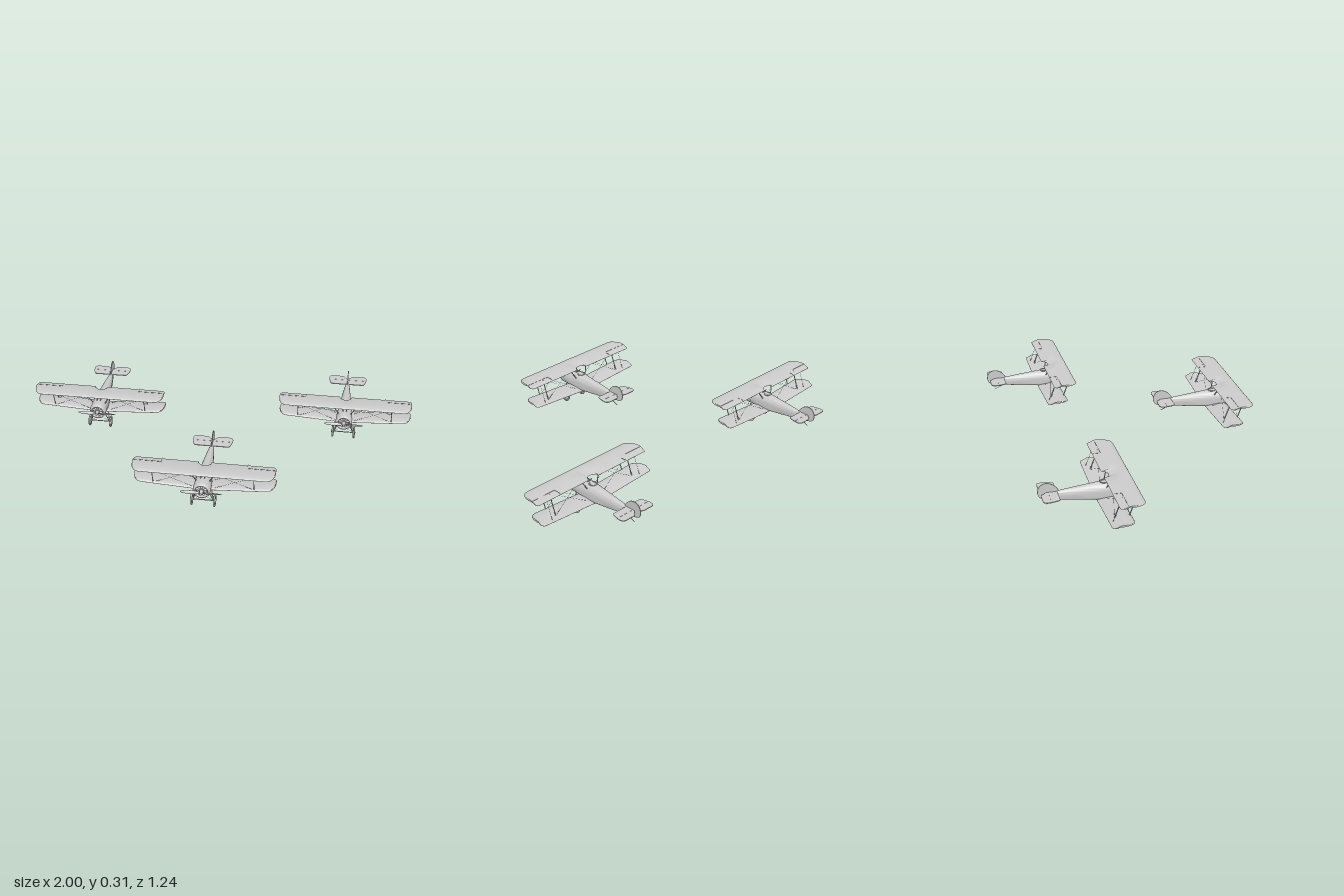
import * as THREE from 'three';
import { toCreasedNormals } from 'three/addons/utils/BufferGeometryUtils.js';

const material = new THREE.MeshStandardMaterial({ color: 0xcccccc, side: THREE.DoubleSide });
const V = (x, y, z) => new THREE.Vector3(x, y, z);

function add(parent, name, geometry, x = 0, y = 0, z = 0) {
  const mesh = new THREE.Mesh(geometry, material);
  mesh.name = name;
  mesh.position.set(x, y, z);
  parent.add(mesh);
  return mesh;
}

// Closed skin over equal-sized rings of points, with capped ends
function loft(rings) {
  const n = rings[0].length, pos = [], idx = [];
  rings.forEach(r => r.forEach(p => pos.push(p.x, p.y, p.z)));
  for (let i = 0; i < rings.length - 1; i++) {
    for (let j = 0; j < n; j++) {
      const a = i * n + j, b = i * n + (j + 1) % n;
      idx.push(a, a + n, b, b, a + n, b + n);
    }
  }
  const cap = (ring, offset, start) => {
    const c = ring.reduce((s, p) => s.add(p), V(0, 0, 0)).divideScalar(n);
    const k = pos.length / 3;
    pos.push(c.x, c.y, c.z);
    for (let j = 0; j < n; j++) {
      const a = offset + j, b = offset + (j + 1) % n;
      idx.push(k, start ? a : b, start ? b : a);
    }
  };
  cap(rings[0], 0, true);
  cap(rings[rings.length - 1], (rings.length - 1) * n, false);
  const g = new THREE.BufferGeometry();
  g.setAttribute('position', new THREE.Float32BufferAttribute(pos, 3));
  g.setIndex(idx);
  return toCreasedNormals(g, 0.7);
}

// Round rod between two points; flatten makes it a streamlined strut
function rod(parent, name, a, b, radius, flatten = 1) {
  const g = new THREE.CylinderGeometry(radius, radius, a.distanceTo(b), radius < 0.001 ? 4 : 8);
  g.scale(flatten, 1, 1);
  const mid = a.clone().add(b).multiplyScalar(0.5);
  const mesh = add(parent, name, g, mid.x, mid.y, mid.z);
  mesh.quaternion.setFromUnitVectors(V(0, 1, 0), b.clone().sub(a).normalize());
}

const HALF = 0.346;
const lowerY = x => 0.092 + 0.06 * Math.abs(x);

// Cambered wing with rounded tips and an optional trailing-edge cutout
function wing(lead, trail, height, cutout) {
  const corner = (x, r, d) => {
    const t = Math.max(0, Math.abs(x) - (HALF - r)) / r;
    return d * (1 - Math.sqrt(Math.max(0, 1 - t * t)));
  };
  const half = [0, 0.008, 0.016, 0.022, 0.027, 0.03, 0.031, 0.1, 0.2, 0.3, 0.306,
    0.314, 0.322, 0.329, 0.334, 0.338, 0.341, 0.344, 0.3455, HALF];
  const xs = [...half.slice(1).reverse().map(x => -x), ...half];
  const steps = [0, 0.04, 0.12, 0.25, 0.4, 0.6, 0.8, 1];
  return loft(xs.map(x => {
    const zl = lead - corner(x, 0.042, 0.065);
    const bite = cutout * Math.sqrt(Math.max(0, 1 - (x / 0.031) ** 2));
    const zt = trail + corner(x, 0.014, 0.02) + bite;
    const point = (t, side) => {
      const camber = 0.018 * Math.sqrt(t) * (1 - t) - 0.004 * t;
      const thick = 0.012 * Math.sqrt(t) * (1 - t) + 0.0006;
      return V(x, height(x) + camber + side * thick / 2, zl + (zt - zl) * t);
    };
    return [...steps.map(t => point(t, 1)), ...steps.slice().reverse().map(t => point(t, -1))];
  }));
}

// Body section: rounded top, increasingly square bottom
function bodyRing([z, top, bottom, w, power]) {
  const mid = bottom + (top - bottom) * 0.5, ring = [];
  for (let i = 0; i < 32; i++) {
    const a = i / 32 * Math.PI * 2, c = Math.cos(a), s = Math.sin(a);
    const e = s < 0 ? 2 / power : 1;
    const h = s < 0 ? mid - bottom : top - mid;
    ring.push(V(w * Math.sign(c) * Math.abs(c) ** e, mid + h * Math.sign(s) * Math.abs(s) ** e, z));
  }
  return ring;
}

function createBiplane() {
  const plane = new THREE.Group();
  plane.name = 'biplane';

  // Fuselage and cockpit
  add(plane, 'fuselage', loft([
    [0.02, 0.168, 0.083, 0.042, 2], [-0.01, 0.17, 0.083, 0.041, 3], [-0.045, 0.171, 0.084, 0.038, 5],
    [-0.08, 0.169, 0.086, 0.035, 7], [-0.13, 0.164, 0.09, 0.03, 8], [-0.2, 0.157, 0.096, 0.023, 8],
    [-0.29, 0.147, 0.106, 0.013, 8], [-0.345, 0.14, 0.112, 0.004, 6],
  ].map(bodyRing)));
  const rim = add(plane, 'cockpitRim', new THREE.TorusGeometry(0.018, 0.003, 8, 24), 0, 0.168, -0.068);
  rim.rotation.x = Math.PI / 2;
  const screen = add(plane, 'windscreen', new THREE.BoxGeometry(0.024, 0.016, 0.002), 0, 0.176, -0.045);
  screen.rotation.x = -0.5;

  // Engine cowl with open front, rotary cylinders inside
  const cowl = new THREE.LatheGeometry([
    [0.03, 0.026], [0.03, 0.058], [0.033, 0.063], [0.038, 0.061], [0.042, 0.054], [0.0435, 0.04], [0.043, 0.016],
  ].map(p => new THREE.Vector2(...p)), 32).rotateX(Math.PI / 2);
  add(plane, 'cowl', cowl, 0, 0.125, 0);
  const engine = new THREE.Group();
  engine.name = 'engine';
  engine.position.set(0, 0.125, 0.046);
  plane.add(engine);
  for (let i = 0; i < 9; i++) {
    const a = i / 9 * Math.PI * 2;
    const c = add(engine, 'cylinder', new THREE.CylinderGeometry(0.006, 0.006, 0.018, 10), -Math.sin(a) * 0.02, Math.cos(a) * 0.02, 0);
    c.rotation.z = a;
  }
  add(engine, 'crankcase', new THREE.CylinderGeometry(0.012, 0.012, 0.022, 16).rotateX(Math.PI / 2));
  add(engine, 'propellerHub', new THREE.CylinderGeometry(0.006, 0.01, 0.028, 12).rotateX(Math.PI / 2), 0, 0, 0.024);

  // Wings
  add(plane, 'upperWing', wing(0.05, -0.074, () => 0.206, 0.028));
  add(plane, 'lowerWing', wing(0.002, -0.11, lowerY, 0));

  for (const s of [-1, 1]) {
    // Propeller blade
    const blade = add(plane, 'propellerBlade', new THREE.SphereGeometry(1, 16, 10), s * 0.053, 0.125, 0.071);
    blade.scale.set(0.048, 0.009, 0.0025);
    blade.rotation.x = s * 0.45;

    // Aileron hinge strips
    add(plane, 'upperAileronHinge', new THREE.BoxGeometry(0.135, 0.001, 0.0015), s * 0.275, 0.2125, -0.036);
    add(plane, 'upperAileronEnd', new THREE.BoxGeometry(0.0015, 0.001, 0.034), s * 0.208, 0.2095, -0.054);

    // Interplane struts and aileron link
    const ends = [[0.028, -0.01], [-0.04, -0.078]];
    for (const [zu, zl] of ends) {
      rod(plane, 'interplaneStrut', V(s * 0.245, 0.209, zu), V(s * 0.245, lowerY(0.245), zl), 0.003, 0.6);
      // Crossed bracing wires
      rod(plane, 'flyingWire', V(s * 0.245, 0.208, zu), V(s * 0.04, lowerY(0.04), zl), 0.0006);
      rod(plane, 'landingWire', V(s * 0.06, 0.208, zu), V(s * 0.245, lowerY(0.245), zl), 0.0006);
    }
    rod(plane, 'aileronLink', V(s * 0.28, 0.206, -0.056), V(s * 0.28, lowerY(0.28), -0.094), 0.0009);

    // Cabane struts
    rod(plane, 'cabaneStrut', V(s * 0.062, 0.209, 0.026), V(s * 0.032, 0.15, 0.008), 0.0025);
    rod(plane, 'cabaneStrut', V(s * 0.062, 0.207, -0.04), V(s * 0.032, 0.15, -0.062), 0.0025);

    // Machine gun
    add(plane, 'gun', new THREE.CylinderGeometry(0.003, 0.003, 0.05, 8).rotateX(Math.PI / 2), s * 0.009, 0.172, -0.01);

    // Undercarriage
    for (const z of [0.018, -0.045]) {
      rod(plane, 'gearStrut', V(s * 0.05, 0.031, 0), V(s * 0.031, 0.092, z), 0.0025);
    }
    rod(plane, 'gearWire', V(s * 0.05, 0.033, 0), V(-s * 0.031, 0.088, 0.015), 0.0006);
    const tyre = add(plane, 'tyre', new THREE.TorusGeometry(0.0255, 0.005, 10, 32), s * 0.056, 0.031, 0);
    tyre.rotation.y = Math.PI / 2;
    const disc = new THREE.LatheGeometry([[0, 0.008], [0.006, 0.007], [0.025, 0.003], [0.025, -0.003], [0.006, -0.007], [0, -0.008]]
      .map(p => new THREE.Vector2(...p)), 28).rotateZ(Math.PI / 2);
    add(plane, 'wheelDisc', disc, s * 0.056, 0.031, 0);
  }
  rod(plane, 'axle', V(-0.064, 0.031, 0), V(0.064, 0.031, 0), 0.0025);

  // Tailplane with a notch for the rudder
  const tail = new THREE.Shape();
  tail.moveTo(0, 0.292);
  tail.lineTo(0.082, 0.292);
  tail.quadraticCurveTo(0.092, 0.294, 0.096, 0.318);
  tail.quadraticCurveTo(0.101, 0.335, 0.101, 0.35);
  tail.quadraticCurveTo(0.1, 0.373, 0.08, 0.373);
  tail.lineTo(0.036, 0.373);
  tail.quadraticCurveTo(0.022, 0.372, 0.014, 0.357);
  tail.lineTo(0, 0.342);
  const right = tail.getPoints(8).slice(1, -1).reverse().map(p => new THREE.Vector2(-p.x, p.y));
  const outline = new THREE.Shape([...tail.getPoints(8), ...right]);
  const flat = { depth: 0.004, bevelEnabled: false };
  add(plane, 'tailplane', new THREE.ExtrudeGeometry(outline, flat).rotateX(-Math.PI / 2), 0, 0.141, 0);
  add(plane, 'elevatorHinge', new THREE.BoxGeometry(0.196, 0.0055, 0.0015), 0, 0.143, -0.334);

  // Fin and rounded rudder
  const fin = new THREE.Shape();
  fin.moveTo(-0.28, 0.145);
  fin.bezierCurveTo(-0.295, 0.17, -0.315, 0.192, -0.345, 0.192);
  fin.bezierCurveTo(-0.37, 0.191, -0.384, 0.17, -0.384, 0.148);
  fin.bezierCurveTo(-0.383, 0.125, -0.37, 0.113, -0.345, 0.112);
  fin.lineTo(-0.3, 0.12);
  fin.closePath();
  add(plane, 'finAndRudder', new THREE.ExtrudeGeometry(fin, flat).rotateY(-Math.PI / 2), 0.002, 0, 0);
  rod(plane, 'tailSkid', V(0, 0.108, -0.285), V(0, 0.083, -0.342), 0.0018);
  return plane;
}

export function createModel() {
  const model = new THREE.Group();
  model.name = 'biplaneFormation';
  const biplane = createBiplane();
  // Leader ahead, two wingmen behind
  const places = [['leader', 0.015, 0.098, 0.536], ['rightWingman', -0.655, 0, -0.203], ['leftWingman', 0.652, 0.03, -0.233]];
  for (const [name, x, y, z] of places) {
    const copy = biplane.clone();
    copy.name = name;
    copy.position.set(x, y, z);
    model.add(copy);
  }
  return model;
}
